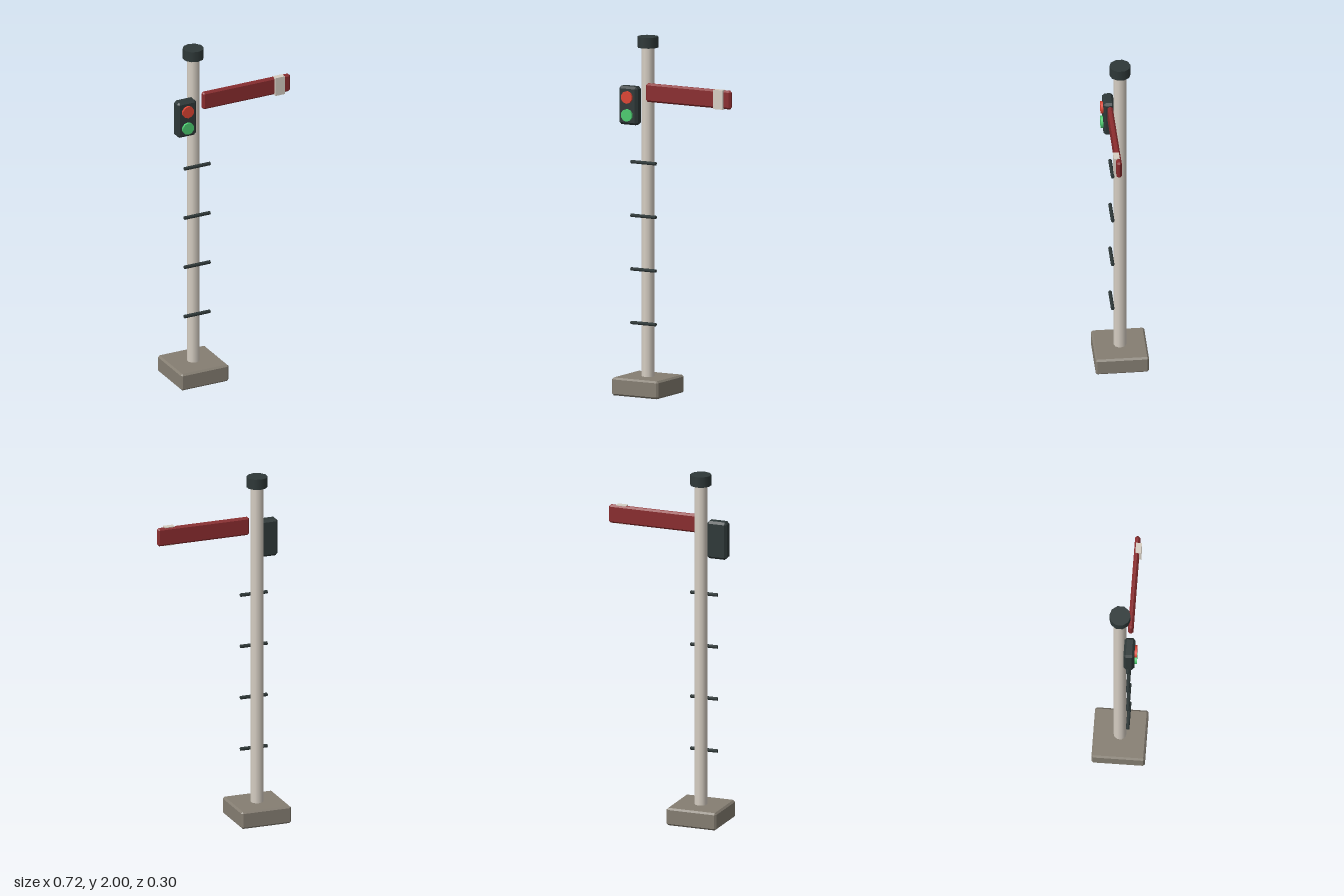
import * as THREE from 'three';
import { ConvexGeometry } from 'three/addons/geometries/ConvexGeometry.js';

const material = (name, color) => {
  const m = new THREE.MeshStandardMaterial({ color });
  m.name = name;
  return m;
};

// Box between two corners with every edge chamfered by c
function chamferBox(min, max, c) {
  const mid = min.map((v, i) => (v + max[i]) / 2);
  const half = min.map((v, i) => (max[i] - v) / 2);
  const points = [];
  for (const sx of [-1, 1]) for (const sy of [-1, 1]) for (const sz of [-1, 1]) {
    const s = [sx, sy, sz];
    for (let full = 0; full < 3; full++) {
      points.push(new THREE.Vector3(...s.map((d, i) => mid[i] + d * (half[i] - (i === full ? 0 : c)))));
    }
  }
  return new ConvexGeometry(points);
}

export function createModel() {
  const group = new THREE.Group();
  group.name = 'railwaySignal';

  const cream = material('cream paint', 0xd6cec3);
  const stone = material('stone', 0x857e72);
  const iron = material('dark iron', 0x2e3838);
  const red = material('signal red', 0x8a2c2e);
  const redLight = material('red lens', 0xdc4433);
  const greenLight = material('green lens', 0x4ccc70);

  const add = (name, geometry, mat, x = 0, y = 0, z = 0) => {
    const mesh = new THREE.Mesh(geometry, mat);
    mesh.name = name;
    mesh.position.set(x, y, z);
    group.add(mesh);
    return mesh;
  };
  const poleX = -0.212;

  // Footing, post and cap
  add('base', chamferBox([-0.36, 0, -0.148], [-0.064, 0.1, 0.148], 0.01), stone);
  add('post', new THREE.CylinderGeometry(0.036, 0.036, 1.86, 10), cream, poleX, 1.02, 0);
  add('cap', new THREE.CylinderGeometry(0.059, 0.059, 0.06, 10), iron, poleX, 1.97, 0);

  // Semaphore arm with its pale band
  add('arm', chamferBox([-0.187, 1.645, 0.043], [0.357, 1.749, 0.072], 0.01), red);
  add('armBand', new THREE.BoxGeometry(0.059, 0.108, 0.033), cream, 0.2845, 1.697, 0.0675);

  // Lamp housing and lenses
  add('lampHousing', chamferBox([-0.351, 1.51, 0.028], [-0.233, 1.725, 0.088], 0.013), iron);
  for (const [name, y, mat] of [['redLamp', 1.665, redLight], ['greenLamp', 1.565, greenLight]]) {
    add(name, new THREE.CylinderGeometry(0.035, 0.035, 0.03, 10), mat, -0.292, y, 0.086).rotation.x = Math.PI / 2;
  }

  // Climbing rungs
  for (let i = 0; i < 4; i++) {
    add('rung', new THREE.CylinderGeometry(0.01, 0.01, 0.16, 6), iron, poleX, 0.4 + i * 0.3, 0.048).rotation.z = Math.PI / 2;
  }

  return group;
}
